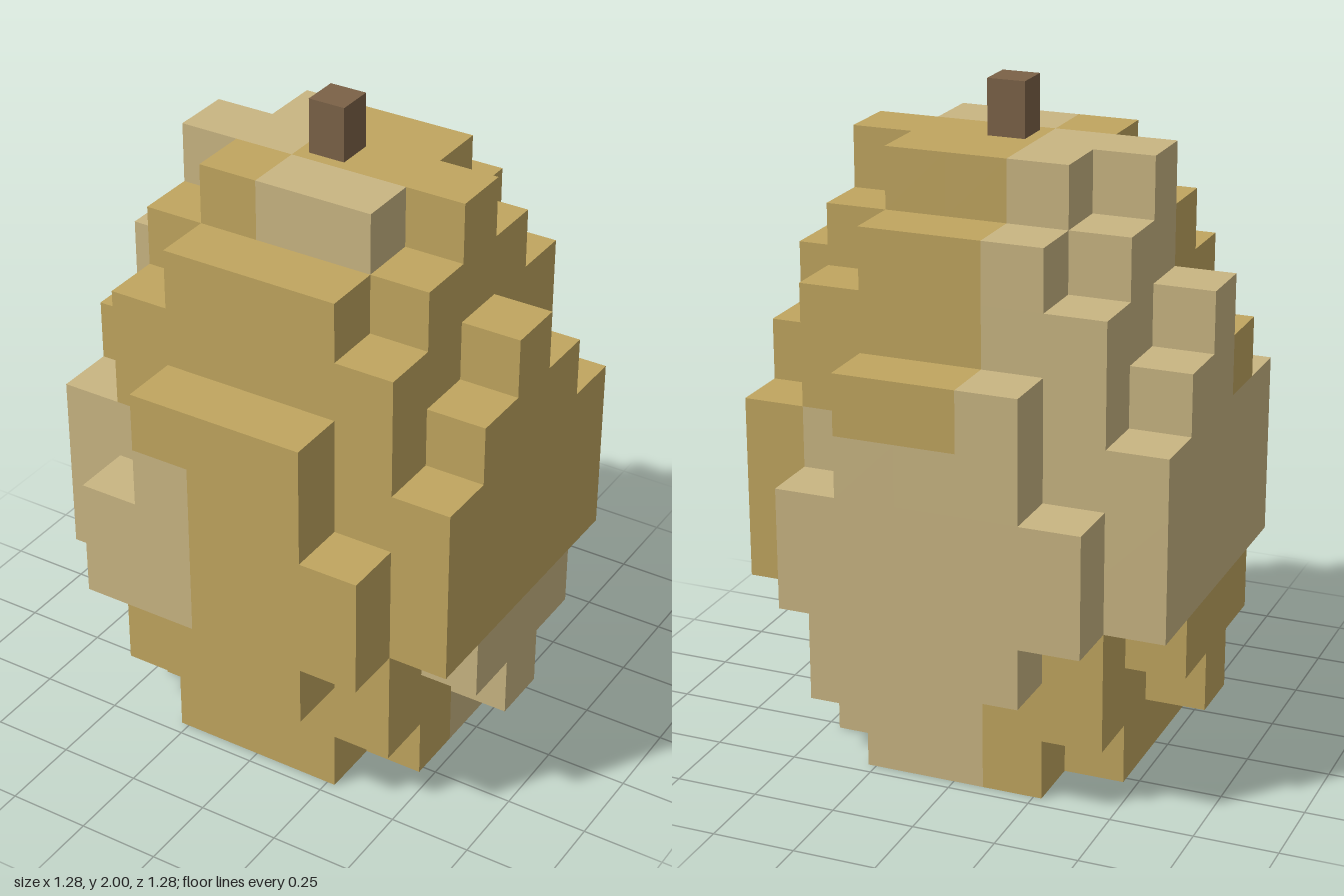
import * as THREE from 'three';
import { mergeGeometries } from 'three/addons/utils/BufferGeometryUtils.js';

const CELL = 0.1835;
const HALF = Math.PI / 2;

// Each layer, bottom to top: the largest |x| filled at |z| = 0, 1, 2, 3 (-1 = none)
const LAYERS = [
  [2, 2, 1, -1],
  [3, 2, 2, -1],
  [3, 3, 2, 1],
  [3, 3, 3, 2],
  [3, 3, 3, 2],
  [3, 3, 3, 1],
  [3, 3, 2, 1],
  [3, 2, 2, -1],
  [2, 2, 1, -1],
  [2, 1, -1, -1],
];

// Rind patches three cells wide: PATCHES[y][z] is a string over x; L = light, G = gold
const PATCHES = [
  ['LLL', 'GLL', 'GGL'],
  ['LLL', 'LLG', 'LGG'],
  ['LGG', 'LGG', 'GGG'],
  ['LGG', 'LGG', 'GLG'],
];

// Outward direction of each cell face and the rotation that turns a plane to it
const FACES = [
  [0, 0, 1, 0, 0],
  [0, 0, -1, 0, Math.PI],
  [1, 0, 0, 0, HALF],
  [-1, 0, 0, 0, -HALF],
  [0, 1, 0, -HALF, 0],
  [0, -1, 0, HALF, 0],
];

const filled = (x, y, z) =>
  y >= 0 && y < LAYERS.length && Math.abs(z) <= 3 && Math.abs(x) <= LAYERS[y][Math.abs(z)];

const patchAt = (x, y, z) =>
  PATCHES[Math.floor(y / 3)][Math.floor((z + 5) / 3)][Math.floor((x + 3) / 3)];

function cellFace(x, y, z, [dx, dy, dz, rx, ry]) {
  const face = new THREE.PlaneGeometry(CELL, CELL);
  face.rotateX(rx).rotateY(ry);
  return face.translate(
    (x + dx / 2) * CELL, (y + 0.5 + dy / 2) * CELL, (z + dz / 2) * CELL);
}

export function createModel() {
  const group = new THREE.Group();
  group.name = 'blockyFruit';

  const material = (name, color) => {
    const m = new THREE.MeshStandardMaterial({ color });
    m.name = name;
    return m;
  };
  const gold = material('gold rind', 0xc0a55f);
  const light = material('light rind', 0xc9b582);
  const brown = material('brown stem', 0x7b6247);

  const add = (name, geometry, mat) => {
    const mesh = new THREE.Mesh(geometry, mat);
    mesh.name = name;
    group.add(mesh);
    return mesh;
  };

  // Rind: the exposed cell faces, sorted by patch colour
  const rind = { G: [], L: [] };
  for (let y = 0; y < LAYERS.length; y++)
    for (let z = -3; z <= 3; z++)
      for (let x = -3; x <= 3; x++) {
        if (!filled(x, y, z)) continue;
        for (const f of FACES)
          if (!filled(x + f[0], y + f[1], z + f[2]))
            rind[patchAt(x, y, z)].push(cellFace(x, y, z, f));
      }
  add('goldRind', mergeGeometries(rind.G), gold);
  add('lightRind', mergeGeometries(rind.L), light);

  // Stem
  const top = LAYERS.length * CELL;
  add('stem', new THREE.BoxGeometry(0.114, 2 - top, 0.114), brown)
    .position.y = (2 + top) / 2;

  return group;
}
